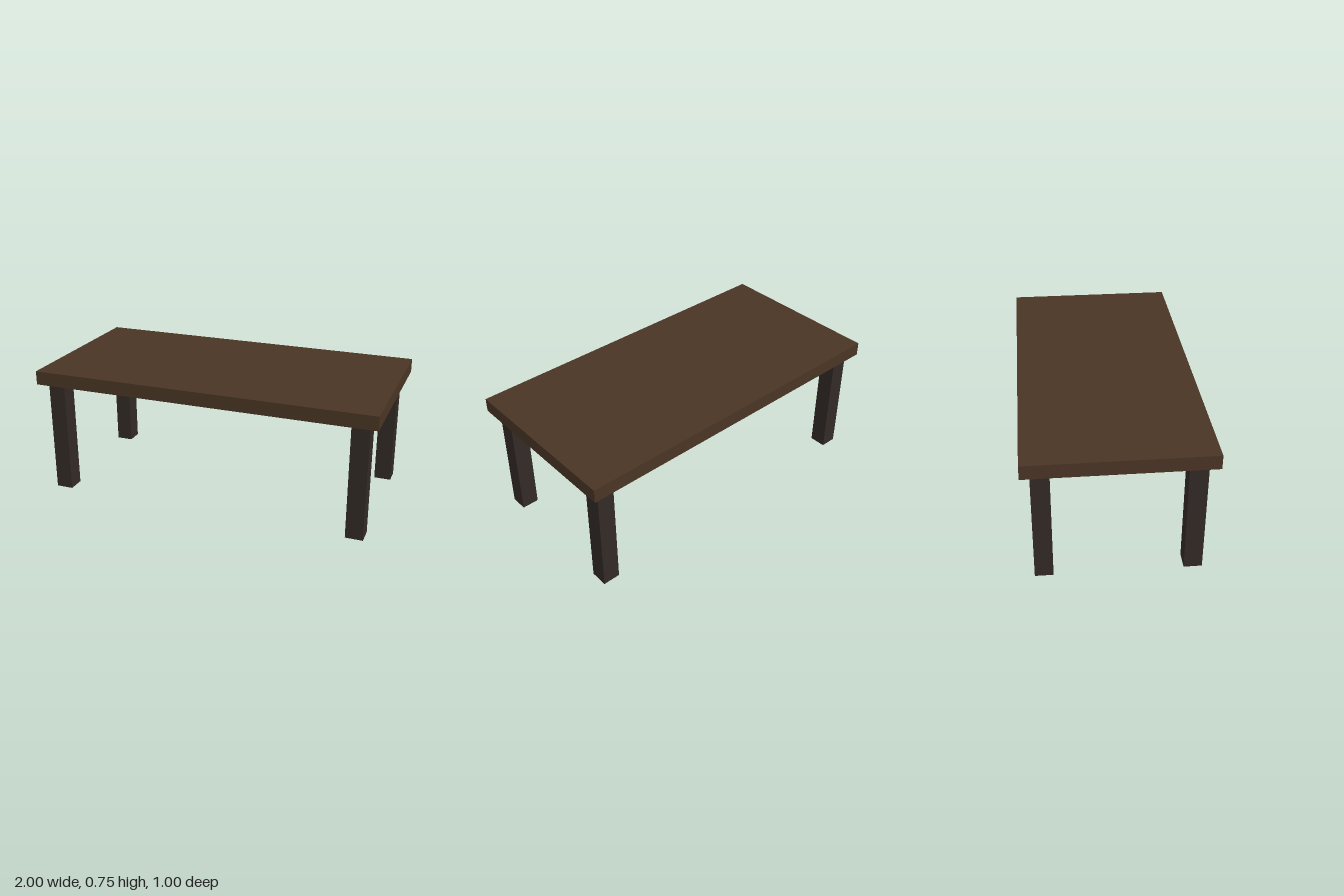
import * as THREE from 'three';

const TOP = { width: 2, depth: 1, thickness: 0.08 };
const LEG = { size: 0.1, height: 0.67, x: 0.9, z: 0.4 };

export function createModel() {
  const table = new THREE.Group();
  table.name = 'table';
  const topWood = new THREE.MeshStandardMaterial({ color: 0x4a3525 });
  const legWood = new THREE.MeshStandardMaterial({ color: 0x332a25 });

  // Slab resting on the legs
  const top = new THREE.Mesh(new THREE.BoxGeometry(TOP.width, TOP.thickness, TOP.depth), topWood);
  top.name = 'tableTop';
  top.position.y = LEG.height + TOP.thickness / 2;
  table.add(top);

  // Four square legs, inset from the corners
  const legGeometry = new THREE.BoxGeometry(LEG.size, LEG.height, LEG.size);
  for (const [sideName, sx] of [['Left', 1], ['Right', -1]]) {
    for (const [endName, sz] of [['front', 1], ['back', -1]]) {
      const leg = new THREE.Mesh(legGeometry, legWood);
      leg.name = `${endName}${sideName}Leg`;
      leg.position.set(sx * LEG.x, LEG.height / 2, sz * LEG.z);
      table.add(leg);
    }
  }
  return table;
}
